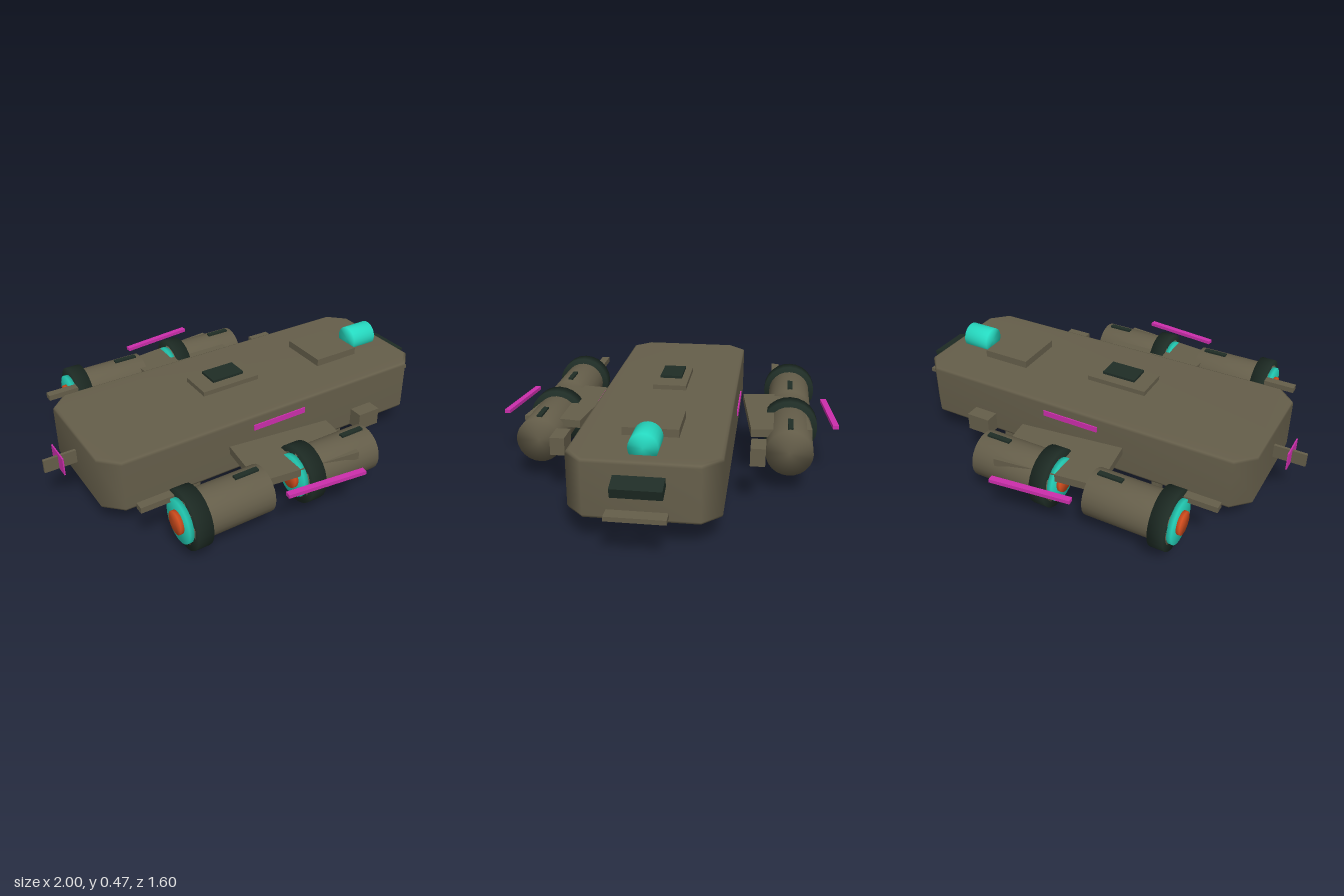
import * as THREE from 'three';
import { mergeVertices } from 'three/addons/utils/BufferGeometryUtils.js';

const mat = (name, color) => {
  const m = new THREE.MeshStandardMaterial({ color });
  m.name = name;
  return m;
};

// Weld all corners so that shading runs smoothly around the edges
function soften(geometry) {
  geometry.deleteAttribute('uv');
  geometry.deleteAttribute('normal');
  const g = mergeVertices(geometry, 1e-4);
  g.computeVertexNormals();
  return g;
}

export function createModel() {
  const hullBrown = mat('hullBrown', 0x655e4a);
  const darkGreen = mat('darkGreen', 0x1f2d26);
  const cyan = mat('cyanGlow', 0x25d9c0);
  const magenta = mat('magentaTrim', 0xcc2eac);
  const orange = mat('orangeCore', 0xd9501f);
  const root = new THREE.Group();
  root.name = 'hoverCraft';

  const add = (name, geometry, material, parent = root) => {
    const mesh = new THREE.Mesh(geometry, material);
    mesh.name = name;
    parent.add(mesh);
    return mesh;
  };
  // Box given by its lower and upper limits on each axis
  const box = (name, material, [x0, x1], [y0, y1], [z0, z1], parent) => {
    const mesh = add(name, new THREE.BoxGeometry(x1 - x0, y1 - y0, z1 - z0), material, parent);
    mesh.position.set((x0 + x1) / 2, (y0 + y1) / 2, (z0 + z1) / 2);
    return mesh;
  };
  // Cylinder lying along x
  const drum = (name, material, x0, x1, r, y, z, parent) => {
    const g = soften(new THREE.CylinderGeometry(r, r, x1 - x0, 24).rotateZ(Math.PI / 2));
    const mesh = add(name, g, material, parent);
    mesh.position.set((x0 + x1) / 2, y, z);
    return mesh;
  };

  // Hull: chamfered rectangle with a small bevel
  const [x0, x1, w, c, bevel] = [-0.85, 0.865, 0.318, 0.08, 0.015];
  const outline = new THREE.Shape([
    [x0 + c, -w], [x1 - c, -w], [x1, -w + c], [x1, w - c],
    [x1 - c, w], [x0 + c, w], [x0, w - c], [x0, -w + c],
  ].map(([x, y]) => new THREE.Vector2(x, y)));
  const hull = new THREE.ExtrudeGeometry(outline, {
    depth: 0.258 - 2 * bevel, bevelEnabled: true, bevelThickness: bevel,
    bevelSize: bevel, bevelOffset: -bevel, bevelSegments: 2,
  });
  hull.rotateX(-Math.PI / 2).translate(0, 0.117 + bevel, 0);
  add('hull', soften(hull), hullBrown);

  // Roof hatches and dome
  box('roofHatch', hullBrown, [-0.24, 0.057], [0.393, 0.415], [-0.08, 0.08]);
  box('roofHatchCap', darkGreen, [-0.173, -0.008], [0.43, 0.442], [-0.052, 0.052]);
  box('foreHatch', hullBrown, [0.385, 0.62], [0.382, 0.417], [-0.12, 0.12]);
  drum('sensorDome', cyan, 0.665, 0.798, 0.062, 0.404, 0);

  // Nose visor and bumper
  const visor = box('noseVisor', darkGreen, [0.888, 0.968], [0.276, 0.32], [-0.103, 0.103]);
  visor.rotation.z = -0.3;
  box('noseBumper', hullBrown, [0.94, 1], [0.185, 0.205], [-0.122, 0.122]);

  // Tail fin with its cross plate
  box('tailFin', hullBrown, [-1, -0.85], [0.218, 0.282], [-0.007, 0.007]);
  box('tailPlate', magenta, [-0.934, -0.928], [0.217, 0.302], [-0.065, 0.065]);

  // Belly hatch with cross bars
  box('bellyPlate', darkGreen, [-0.335, 0.243], [0.098, 0.12], [-0.18, 0.18]);
  box('bellyHatch', darkGreen, [-0.335, 0.243], [0.066, 0.092], [-0.145, 0.145]);
  for (const x of [-0.45, -0.15, 0.15, 0.45]) {
    box('bellyBar', hullBrown, [x - 0.013, x + 0.013], [0.047, 0.066], [-0.167, 0.167]);
  }

  // Parts that repeat on both sides
  for (const s of [1, -1]) {
    const side = new THREE.Group();
    side.name = s > 0 ? 'frontSide' : 'backSide';
    root.add(side);
    const sideBox = (name, m, x, y, [a, b]) =>
      box(name, m, x, y, s > 0 ? [a, b] : [-b, -a], side);

    for (const x of [-0.41, 0.395]) {
      sideBox('leg', hullBrown, [x - 0.02, x + 0.02], [0, 0.125], [0.254, 0.29]);
    }
    const pylon = sideBox('pylon', hullBrown, [-0.284, 0.21], [0.24, 0.277], [0.37, 0.65]);
    pylon.rotation.y = -s * 0.122;
    sideBox('sidePod', hullBrown, [0.368, 0.482], [0.21, 0.292], [0.407, 0.473]);
    sideBox('hullStripe', magenta, [-0.13, 0.15], [0.31, 0.337], [0.33, 0.336]);
    const blade = sideBox('outerBlade', magenta, [-0.241, 0.131], [0.26, 0.277], [0.752, 0.78]);
    blade.rotation.y = -s * 0.117;
    sideBox('foreProbe', hullBrown, [-0.788, -0.6], [0.26, 0.287], [0.478, 0.518]);

    // Two engines in a row
    for (const x of [0, 0.56]) {
      const engine = new THREE.Group();
      engine.name = 'engine';
      engine.position.set(x, 0.202, s * 0.578);
      side.add(engine);
      drum('engineBody', hullBrown, -0.638, -0.252, 0.107, 0, 0, engine);
      drum('engineRing', darkGreen, -0.638, -0.568, 0.134, 0, 0, engine);
      drum('engineGlow', cyan, -0.658, -0.63, 0.098, 0, 0, engine);
      drum('engineCore', orange, -0.674, -0.65, 0.052, 0, 0, engine);
      box('engineVent', darkGreen, [-0.392, -0.277], [0.09, 0.115], [-0.012, 0.012], engine);
    }
  }
  return root;
}
